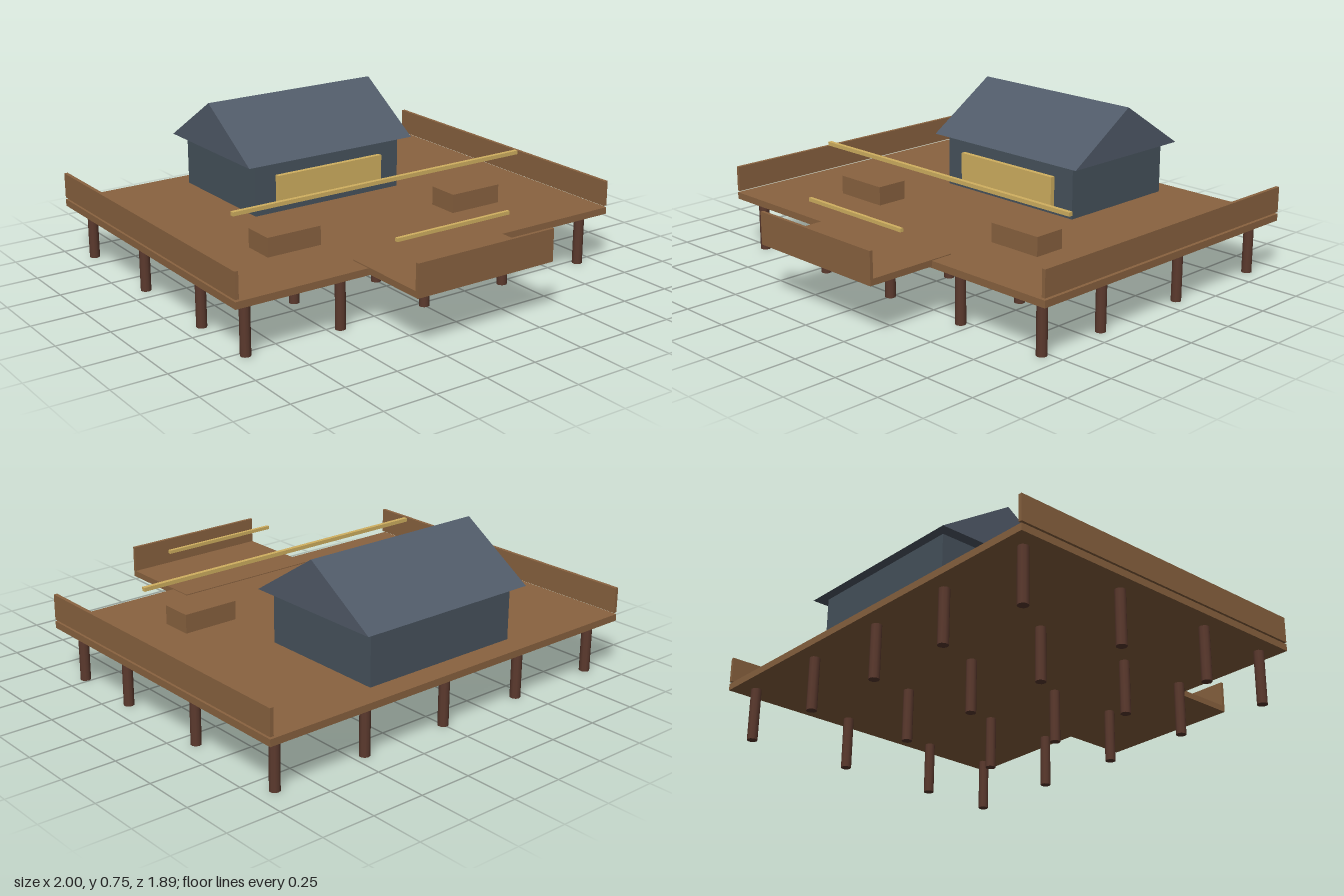
import * as THREE from 'three';

export function createModel() {
  const model = new THREE.Group();
  model.name = 'deckHouse';

  const material = (name, color) => {
    const m = new THREE.MeshStandardMaterial({ color });
    m.name = name;
    return m;
  };
  const wood = material('deckWood', 0x8a6340);
  const postWood = material('darkPostWood', 0x5c3a2e);
  const wallPaint = material('slateWall', 0x47535d);
  const roofSlate = material('slateRoof', 0x515b69);
  const glow = material('warmYellow', 0xd1b060);

  const add = (name, geometry, mat, x = 0, y = 0, z = 0) => {
    const mesh = new THREE.Mesh(geometry, mat);
    mesh.name = name;
    mesh.position.set(x, y, z);
    model.add(mesh);
    return mesh;
  };
  // Box given by its lower and upper limits on each axis
  const box = (name, mat, [x0, x1], [y0, y1], [z0, z1]) =>
    add(name, new THREE.BoxGeometry(x1 - x0, y1 - y0, z1 - z0), mat,
      (x0 + x1) / 2, (y0 + y1) / 2, (z0 + z1) / 2);

  // Main deck and the front landing that overlaps it
  box('mainDeck', wood, [-1, 1], [0.248, 0.28], [-0.945, 0.61]);
  box('frontLanding', wood, [-0.36, 0.36], [0.255, 0.284], [0.5, 0.945]);
  box('landingRail', wood, [-0.36, 0.36], [0.284, 0.405], [0.93, 0.945]);

  // Mirrored side rails and benches
  for (const s of [-1, 1]) {
    const span = (a, b) => (s > 0 ? [a, b] : [-b, -a]);
    box('sideRail', wood, span(0.983, 1), [0.289, 0.408], [-0.945, 0.61]);
    box('bench', wood, span(0.365, 0.635), [0.28, 0.368], [0.112, 0.265]);
  }

  // Grid of support posts
  const postShape = new THREE.CylinderGeometry(0.024, 0.024, 0.25, 10);
  for (const x of [-0.91, -0.445, 0, 0.445, 0.91]) {
    for (const z of [-0.855, -0.333, 0.17, 0.527]) add('post', postShape, postWood, x, 0.125, z);
  }

  // House walls and front window panel
  box('houseWalls', wallPaint, [-0.4, 0.4], [0.28, 0.53], [-0.834, -0.213]);
  box('windowPanel', glow, [-0.29, 0.29], [0.32, 0.46], [-0.215, -0.19]);

  // Gable roof: triangular section in z and y, extruded along x
  const gable = new THREE.Shape([
    new THREE.Vector2(-0.353, 0),
    new THREE.Vector2(0.353, 0),
    new THREE.Vector2(0, 0.228),
  ]);
  const roof = new THREE.ExtrudeGeometry(gable, { depth: 0.906, bevelEnabled: false });
  roof.translate(0, 0, -0.453).rotateY(Math.PI / 2);
  add('gableRoof', roof, roofSlate, 0, 0.527, -0.525);

  // Hanging light strips
  box('longLightStrip', glow, [-0.778, 0.778], [0.482, 0.5], [0.21, 0.23]);
  box('shortLightStrip', glow, [-0.3, 0.3], [0.417, 0.433], [0.712, 0.728]);

  return model;
}
